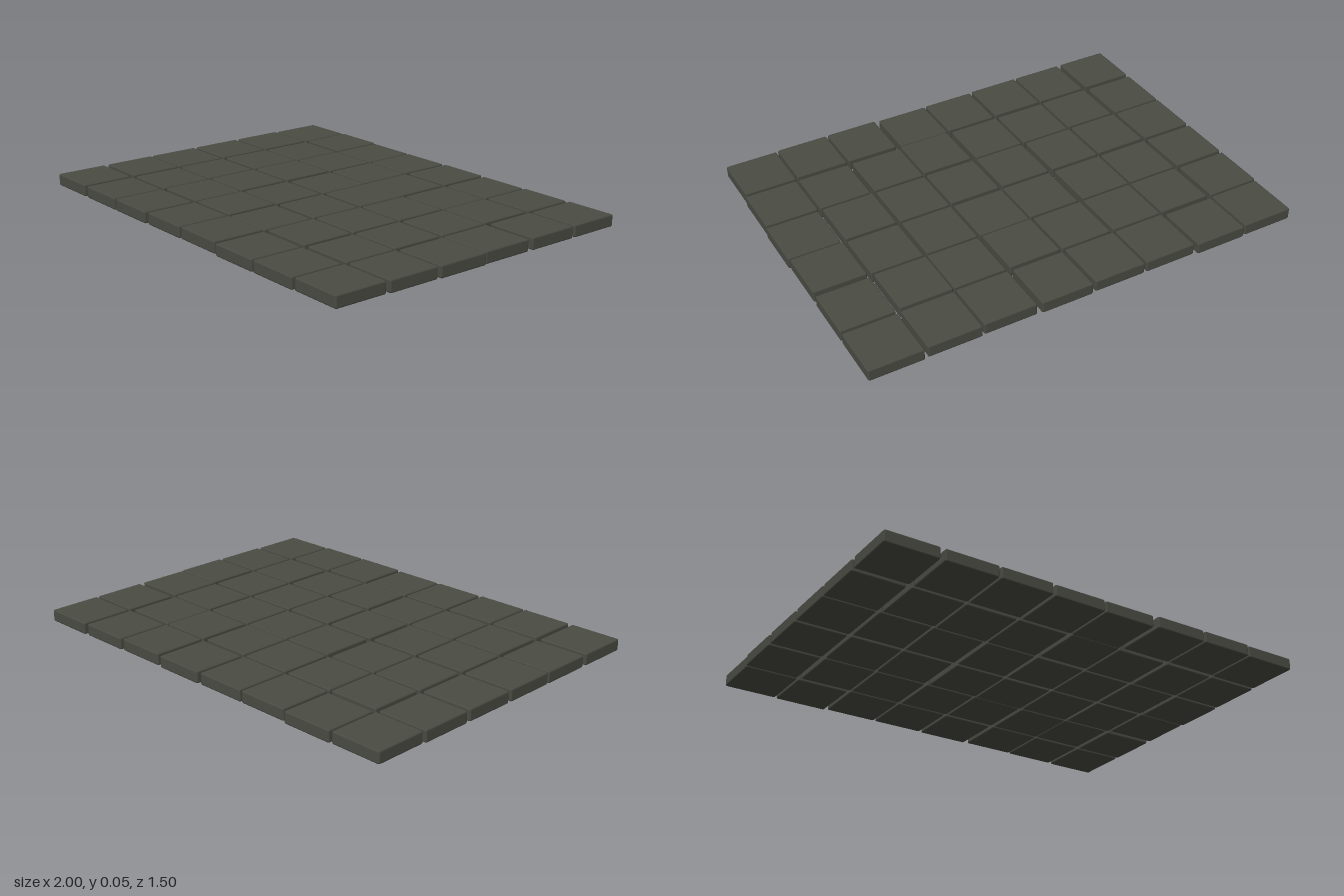
import * as THREE from 'three';
import { RoundedBoxGeometry } from 'three/addons/geometries/RoundedBoxGeometry.js';

const PITCH = 0.25, SIZE = 0.237, HEIGHT = 0.054, BEVEL = 0.007;

// Hand-laid shift of each slab, in thousandths: rows run back to front, columns left to right
const SHIFT_X = [
  [2, -2, -1, -5, -4, 3, -1, 1],
  [-4, 3, -1, 0, -3, 3, -6, 1],
  [-4, -1, -6, 6, 1, -2, 0, 0],
  [-4, -3, -6, 0, 2, -2, -1, 6],
  [-4, 3, -1, -5, 2, -2, 4, 1],
  [-4, 3, -1, 0, -4, 3, -1, -5],
];
const SHIFT_Z = [
  [0, -5, 5, 5, 0, 5, 0, -5],
  [-4, 2, 2, 2, 4, 2, 2, -6],
  [-2, -2, -2, -1, -5, -2, -2, 4],
  [0, 3, 0, 0, 0, -4, -1, -4],
  [-5, 0, -5, -5, 5, -5, -5, -5],
  [2, 2, 2, -3, -6, 3, 2, -4],
];

export function createModel() {
  const group = new THREE.Group();
  group.name = 'pavedFloor';

  const stone = new THREE.MeshStandardMaterial({ color: 0x4a4b43 });
  stone.name = 'darkStone';

  // One soft-edged slab shared by the whole grid
  const slab = new RoundedBoxGeometry(SIZE, HEIGHT, SIZE, 1, BEVEL);

  SHIFT_X.forEach((row, r) => row.forEach((dx, c) => {
    const tile = new THREE.Mesh(slab, stone);
    tile.name = `slabRow${r + 1}Column${c + 1}`;
    tile.position.set(
      (c - 3.5) * PITCH + dx / 1000,
      HEIGHT / 2,
      (r - 2.5) * PITCH + SHIFT_Z[r][c] / 1000,
    );
    group.add(tile);
  }));

  return group;
}
